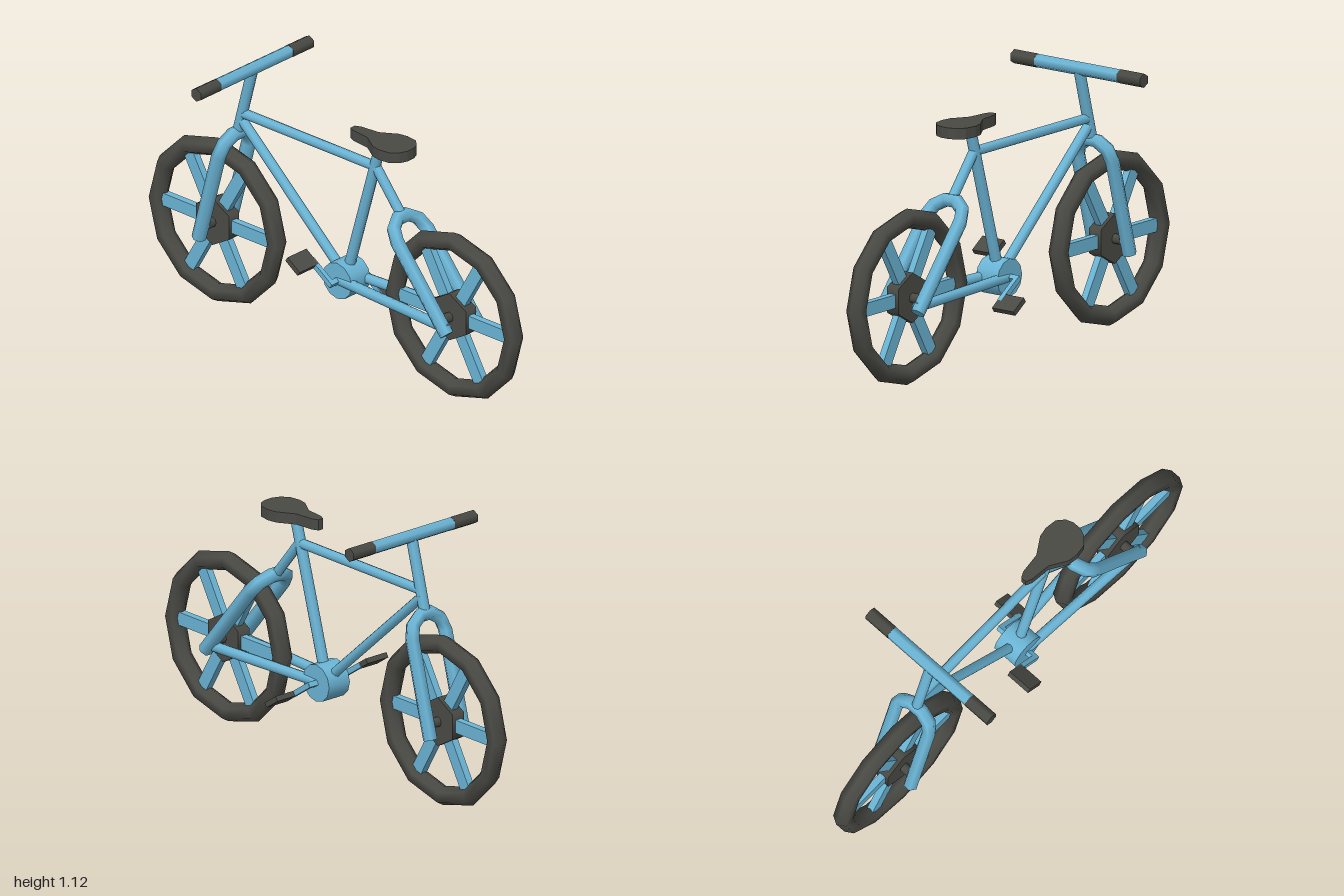
import * as THREE from 'three';

export function createModel() {
  const model = new THREE.Group();
  model.name = 'bicycle';
  const blue = new THREE.MeshStandardMaterial({ color: 0x6bb5d6 });
  blue.name = 'frame blue';
  const dark = new THREE.MeshStandardMaterial({ color: 0x4a4a45 });
  dark.name = 'rubber grey';

  const V = (x, y, z = 0) => new THREE.Vector3(x, y, z);
  const add = (name, geometry, material, parent = model) => {
    const mesh = new THREE.Mesh(geometry, material);
    mesh.name = name;
    parent.add(mesh);
    return mesh;
  };
  // Straight tube between two points
  const tube = (name, a, b, r, material = blue, sides = 8) => {
    const mesh = add(name, new THREE.CylinderGeometry(r, r, a.distanceTo(b), sides), material);
    mesh.position.copy(a).lerp(b, 0.5);
    mesh.quaternion.setFromUnitVectors(V(0, 1, 0), b.clone().sub(a).normalize());
    return mesh;
  };

  // Wheels: tyre, three crossing spoke bars, hub and axle
  for (const [name, x] of [['frontWheel', -0.64], ['rearWheel', 0.64]]) {
    const wheel = new THREE.Group();
    wheel.name = name;
    wheel.position.set(x, 0.367, 0);
    model.add(wheel);
    add('tyre', new THREE.TorusGeometry(0.32, 0.04, 6, 12), dark, wheel);
    for (let i = 0; i < 3; i++) {
      add('spokeBar', new THREE.BoxGeometry(0.58, 0.055, 0.03), blue, wheel).rotation.z = i * Math.PI / 3;
    }
    const hub = new THREE.CylinderGeometry(0.103, 0.103, 0.06, 6).rotateX(Math.PI / 2);
    add('hub', hub, dark, wheel);
    add('axle', new THREE.CylinderGeometry(0.021, 0.021, 0.15, 8).rotateX(Math.PI / 2), dark, wheel);
  }

  // Forks: two legs joined by a faceted arch, leaning from the axle to the crown
  const forkHalf = 0.0875, forkR = 0.03;
  const fork = (name, bottom, top) => {
    const group = new THREE.Group();
    group.name = name;
    const dir = top.clone().sub(bottom);
    const leg = dir.length() - forkHalf;
    dir.normalize();
    const basis = new THREE.Matrix4().makeBasis(V(0, 0, 1), dir, V(-dir.y, dir.x, 0));
    group.quaternion.setFromRotationMatrix(basis);
    group.position.copy(bottom);
    model.add(group);
    add('forkArch', new THREE.TorusGeometry(forkHalf, forkR, 6, 5, Math.PI), blue, group).position.y = leg;
    for (const s of [-1, 1]) {
      const geometry = new THREE.CylinderGeometry(forkR, forkR, leg, 6, 1, false, Math.PI / 2);
      add('forkLeg', geometry, blue, group).position.set(s * forkHalf, leg / 2, 0);
    }
  };
  fork('frontFork', V(-0.66, 0.31), V(-0.53, 0.79));
  fork('rearFork', V(0.68, 0.32), V(0.355, 0.71));

  // Frame tubes
  const crank = V(0.057, 0.343);
  tube('steererTube', V(-0.53, 0.79), V(-0.45, 1.09), 0.023);
  tube('topTube', V(-0.51, 0.88), V(0.215, 0.88), 0.021);
  tube('downTube', V(-0.52, 0.86), crank, 0.021);
  tube('seatTube', crank, V(0.24, 0.98), 0.023);
  tube('seatStay', V(0.21, 0.888), V(0.355, 0.71), 0.021);
  for (const s of [-1, 1]) {
    tube('chainStay', V(0.06, 0.343, s * 0.04), V(0.68, 0.343, s * 0.08), 0.022);
  }

  // Handlebar with grips
  tube('handlebar', V(-0.45, 1.093, -0.21), V(-0.45, 1.093, 0.21), 0.028, blue, 6);
  for (const s of [-1, 1]) {
    tube('grip', V(-0.45, 1.093, s * 0.21), V(-0.45, 1.093, s * 0.33), 0.029, dark, 6);
  }

  // Bottom bracket, crank arms and pedals
  tube('bottomBracket', V(crank.x, crank.y, -0.055), V(crank.x, crank.y, 0.055), 0.078, blue, 12);
  const cranks = new THREE.Group();
  cranks.name = 'cranks';
  cranks.position.copy(crank);
  cranks.rotation.z = -0.6;
  model.add(cranks);
  add('crankAxle', new THREE.BoxGeometry(0.022, 0.022, 0.2), blue, cranks);
  for (const s of [-1, 1]) {
    add('crankArm', new THREE.BoxGeometry(0.14, 0.022, 0.02), blue, cranks).position.set(-s * 0.06, 0, s * 0.092);
    add('pedal', new THREE.BoxGeometry(0.08, 0.022, 0.11), dark, cranks).position.set(-s * 0.135, 0, s * 0.14);
  }

  // Saddle: narrow nose widening to the back
  const half = [[0.09, 0.012], [0.115, 0.024], [0.2, 0.033], [0.235, 0.055], [0.27, 0.077],
    [0.31, 0.084], [0.36, 0.077], [0.39, 0.05], [0.402, 0.018]];
  const outline = [...half, ...half.map(([x, z]) => [x, -z]).reverse()];
  const shape = new THREE.Shape(outline.map(([x, z]) => new THREE.Vector2(x, z)));
  const saddle = new THREE.ExtrudeGeometry(shape, { depth: 0.045, bevelEnabled: false });
  add('saddle', saddle.rotateX(-Math.PI / 2), dark).position.y = 0.969;

  return model;
}
